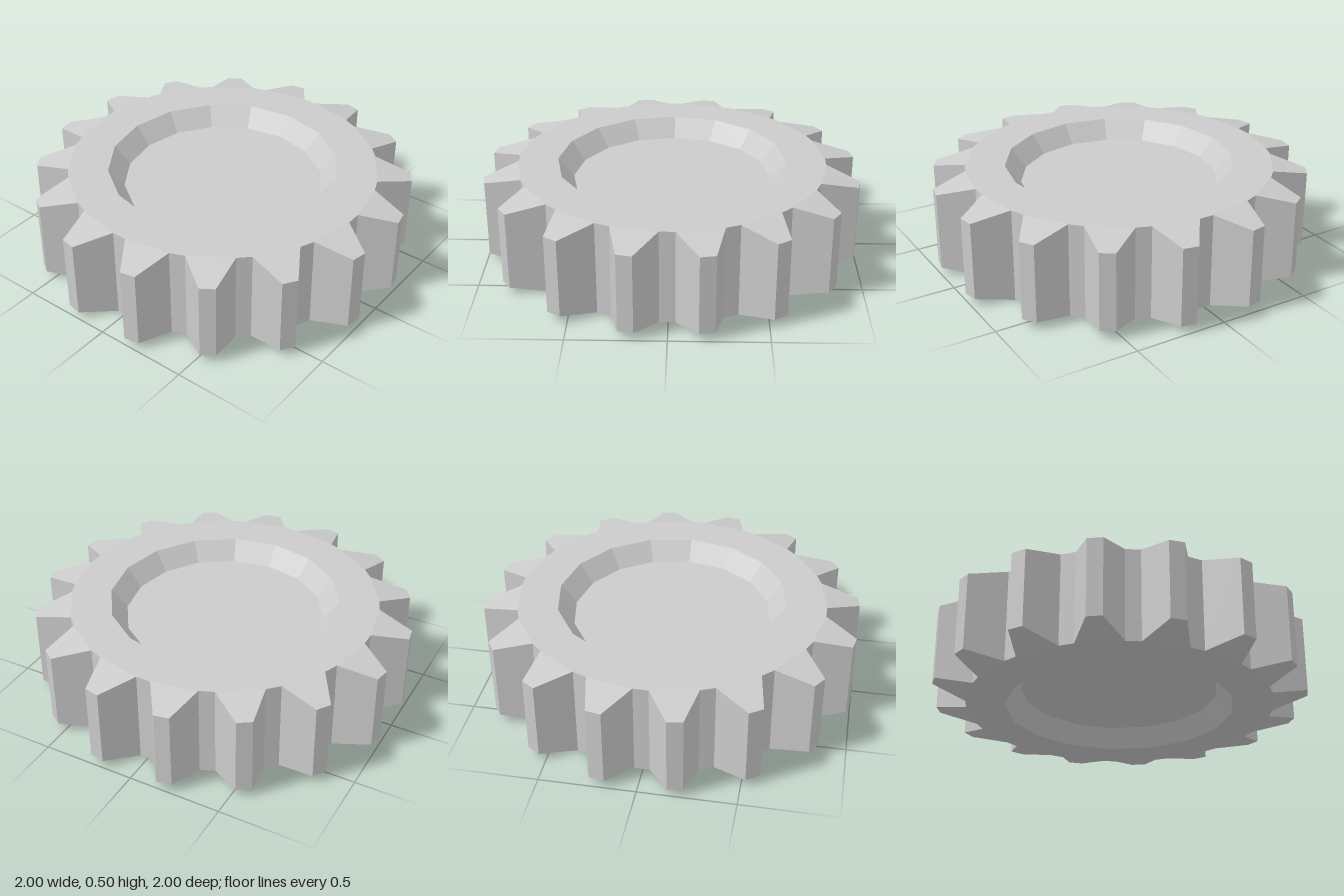
import * as THREE from 'three';

const TEETH = 16;
const STEP = (Math.PI * 2) / TEETH;
const DEG = Math.PI / 180;
const TWIST = -0.35 * DEG;
const HEIGHT = 0.505;
const CHAMFER = 0.042; // drop of each tooth tip from the gear face
const RECESS = 0.1; // depth of the dish on each face

// Point at an angle and radius, inset from the top (side 1) or bottom (side -1) face
function point(angle, radius, inset, side) {
  const y = side > 0 ? HEIGHT - inset : inset;
  const a = angle + TWIST;
  return [Math.sin(a) * radius, y, Math.cos(a) * radius];
}

// Flat-shaded mesh from polygons with counter-clockwise corners
function facetMesh(name, polygons, material) {
  const positions = [];
  for (const p of polygons) {
    for (let i = 1; i < p.length - 1; i++) positions.push(...p[0], ...p[i], ...p[i + 1]);
  }
  const geometry = new THREE.BufferGeometry();
  geometry.setAttribute('position', new THREE.Float32BufferAttribute(positions, 3));
  geometry.computeVertexNormals();
  const mesh = new THREE.Mesh(geometry, material);
  mesh.name = name;
  return mesh;
}

export function createModel() {
  const group = new THREE.Group();
  group.name = 'gear';
  const material = new THREE.MeshStandardMaterial({ color: 0xcccccc, flatShading: true });
  const teeth = [], body = [], recess = [];

  for (let i = 0; i < TEETH; i++) {
    const start = i * STEP, end = start + STEP, mid = start + STEP / 2;

    // Corners of one tooth sector on the given face
    const sector = (side) => ({
      b0: point(mid - 8.5 * DEG, 0.83, 0, side),
      b1: point(mid + 8.5 * DEG, 0.83, 0, side),
      n0: point(end + STEP / 2 - 8.5 * DEG, 0.83, 0, side),
      t0: point(mid - 2.3 * DEG, 1.011, CHAMFER, side),
      t1: point(mid + 2.3 * DEG, 1.011, CHAMFER, side),
      r0: point(start, 0.618, 0, side),
      r1: point(end, 0.618, 0, side),
      f0: point(start, 0.535, RECESS, side),
      f1: point(end, 0.535, RECESS, side),
      c: point(0, 0, RECESS, side),
    });

    // Both faces: ring, sloped tooth end, dish wall and floor
    for (const side of [1, -1]) {
      const s = sector(side);
      const add = (list, ...p) => list.push(side > 0 ? p : p.reverse());
      add(body, s.r0, s.b0, s.b1, s.r1);
      add(body, s.r1, s.b1, s.n0);
      add(teeth, s.b0, s.t0, s.t1, s.b1);
      add(recess, s.f0, s.r0, s.r1, s.f1);
      add(recess, s.c, s.f0, s.f1);
    }

    // Upright flanks, tip and the gap wall to the next tooth
    const top = sector(1), low = sector(-1);
    const wall = (list, a, b) => list.push([low[a], low[b], top[b], top[a]]);
    wall(teeth, 'b0', 't0');
    wall(teeth, 't0', 't1');
    wall(teeth, 't1', 'b1');
    wall(body, 'b1', 'n0');
  }

  group.add(
    facetMesh('gearBody', body, material),
    facetMesh('teeth', teeth, material),
    facetMesh('dishedRecesses', recess, material)
  );
  return group;
}
